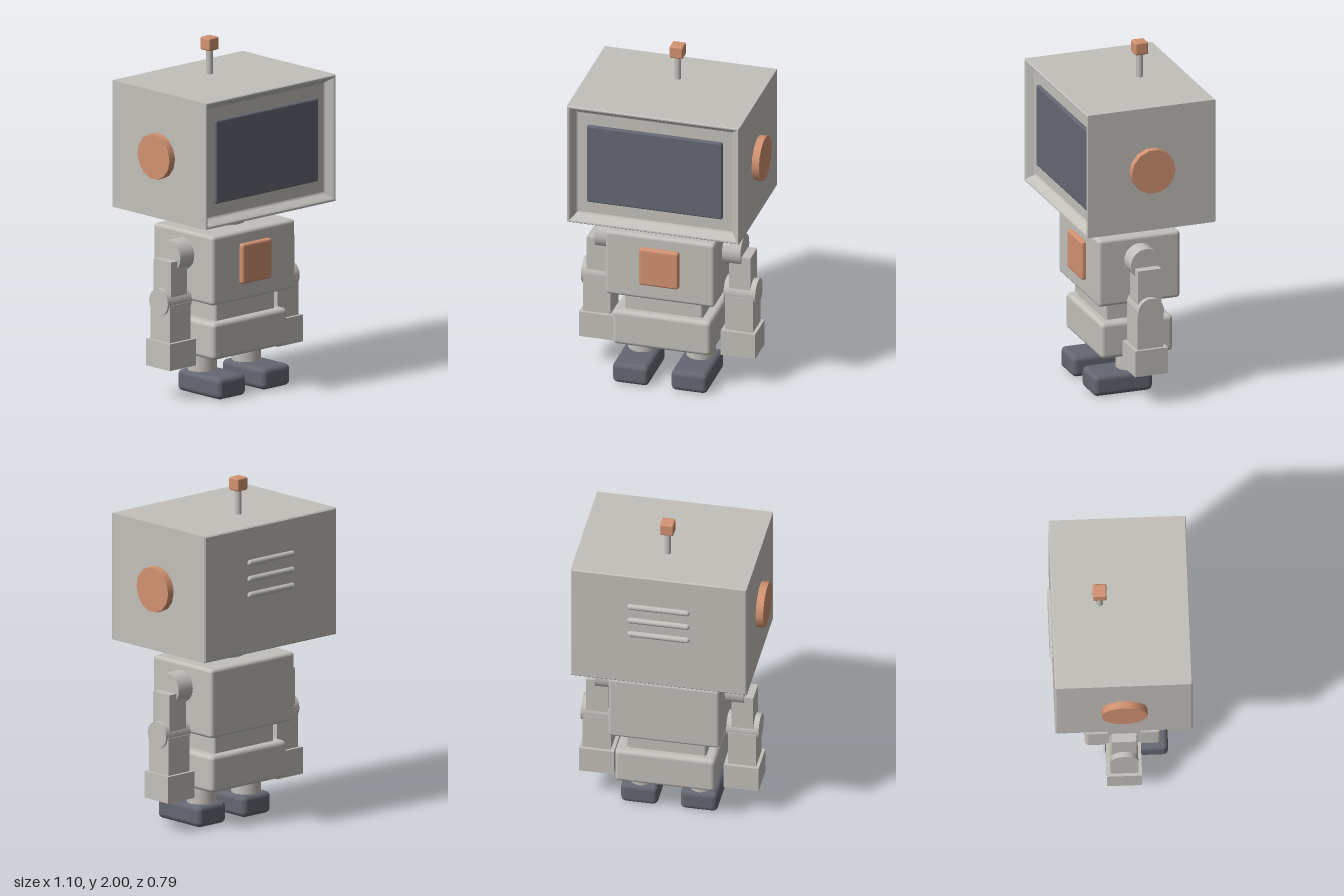
import * as THREE from 'three';
import { RoundedBoxGeometry } from 'three/addons/geometries/RoundedBoxGeometry.js';

const mat = (name, color) => {
  const m = new THREE.MeshStandardMaterial({ color });
  m.name = name;
  return m;
};

// Loft of centred rectangles [halfWidth, halfHeight, z], ordered back to front
function rectLoft(rings) {
  const corners = [[-1, -1], [1, -1], [1, 1], [-1, 1]];
  const pos = [];
  const point = (i, j) => {
    const [w, h, z] = rings[i];
    const [sx, sy] = corners[j % 4];
    return [sx * w, sy * h, z];
  };
  for (let i = 0; i < rings.length - 1; i++) {
    for (let j = 0; j < 4; j++) {
      const a = point(i, j), b = point(i, j + 1);
      const c = point(i + 1, j + 1), d = point(i + 1, j);
      pos.push(...a, ...b, ...c, ...a, ...c, ...d);
    }
  }
  const g = new THREE.BufferGeometry();
  g.setAttribute('position', new THREE.Float32BufferAttribute(pos, 3));
  g.computeVertexNormals();
  return g;
}

export function createModel() {
  const root = new THREE.Group();
  root.name = 'robot';
  const shell = mat('warm grey shell', 0xc2c0ba);
  const copper = mat('copper accent', 0xd29272);
  const dark = mat('slate', 0x646772);

  const add = (name, geometry, material, x, y, z, parent = root) => {
    const mesh = new THREE.Mesh(geometry, material);
    mesh.name = name;
    mesh.position.set(x, y, z);
    parent.add(mesh);
    return mesh;
  };
  // Box given by its extents; r rounds the edges
  const box = (name, material, [x0, x1], [y0, y1], [z0, z1], r = 0, parent = root) => {
    const size = [x1 - x0, y1 - y0, z1 - z0];
    const g = r ? new RoundedBoxGeometry(...size, 3, r) : new THREE.BoxGeometry(...size);
    return add(name, g, material, (x0 + x1) / 2, (y0 + y1) / 2, (z0 + z1) / 2, parent);
  };
  // Cylinder lying along x
  const axle = (name, material, r, [x0, x1], y, z, sides, parent = root) => {
    const g = new THREE.CylinderGeometry(r, r, x1 - x0, sides).rotateZ(Math.PI / 2);
    return add(name, g, material, (x0 + x1) / 2, y, z, parent);
  };

  // Head: hollow-fronted case with a sloped bezel around the screen
  const head = new THREE.Group();
  head.name = 'head';
  root.add(head);
  add('headCase', rectLoft([
    [0, 0, -0.38], [0.498, 0.36, -0.38], [0.505, 0.367, -0.373],
    [0.505, 0.367, 0.389], [0.5, 0.362, 0.395], [0.492, 0.354, 0.394],
    [0.484, 0.346, 0.386], [0.461, 0.323, 0.35], [0.452, 0.314, 0.345], [0, 0, 0.345],
  ]), shell, 0, 1.418, 0, head);
  box('screen', dark, [-0.397, 0.397], [1.178, 1.66], [0.325, 0.365], 0.01, head);

  // Three raised vent bars on the back of the head
  for (const y of [1.39, 1.483, 1.577]) {
    const bar = new THREE.CapsuleGeometry(0.018, 0.324, 4, 12).rotateZ(Math.PI / 2);
    add('ventBar', bar, shell, 0, y, -0.38, head);
  }

  // Antenna
  add('antennaRod', new THREE.CylinderGeometry(0.019, 0.019, 0.16, 16), shell, 0, 1.86, -0.11, head);
  box('antennaTip', copper, [-0.039, 0.039], [1.925, 2.0], [-0.149, -0.071], 0.01, head);

  // Body
  add('neck', new THREE.CylinderGeometry(0.114, 0.114, 0.13, 32), shell, 0, 1.0, 0.01);
  box('torso', shell, [-0.32, 0.32], [0.553, 0.953], [-0.235, 0.257], 0.02);
  box('chestPlate', copper, [-0.116, 0.116], [0.65, 0.882], [0.22, 0.284], 0.015);
  box('waist', shell, [-0.23, 0.23], [0.42, 0.58], [-0.16, 0.182], 0.015);
  box('pelvis', shell, [-0.288, 0.288], [0.225, 0.44], [-0.205, 0.228], 0.025);

  // Mirrored parts: ears, arms and legs
  for (const s of [1, -1]) {
    const span = (a, b) => (s > 0 ? [a, b] : [-b, -a]);
    const side = s > 0 ? 'left' : 'right';

    axle(side + 'Ear', copper, 0.131, span(0.49, 0.548), 1.415, 0.01, 14, head);

    const arm = new THREE.Group();
    arm.name = side + 'Arm';
    root.add(arm);
    axle('shoulder', shell, 0.091, span(0.3, 0.428), 0.82, 0.012, 24, arm);
    box('upperArm', shell, span(0.355, 0.48), [0.56, 0.803], [-0.06, 0.08], 0, arm);
    axle('elbow', shell, 0.077, span(0.325, 0.511), 0.565, 0.012, 24, arm);
    box('forearm', shell, span(0.336, 0.498), [0.33, 0.555], [-0.068, 0.091], 0, arm);
    box('hand', shell, span(0.315, 0.516), [0.185, 0.34], [-0.087, 0.11], 0, arm);

    const leg = new THREE.Group();
    leg.name = side + 'Leg';
    root.add(leg);
    add('shin', new THREE.CylinderGeometry(0.084, 0.084, 0.17, 28), shell, s * 0.171, 0.17, 0.01, leg);
    box('foot', dark, span(0.065, 0.278), [0, 0.125], [-0.088, 0.266], 0.03, leg);
  }

  return root;
}
